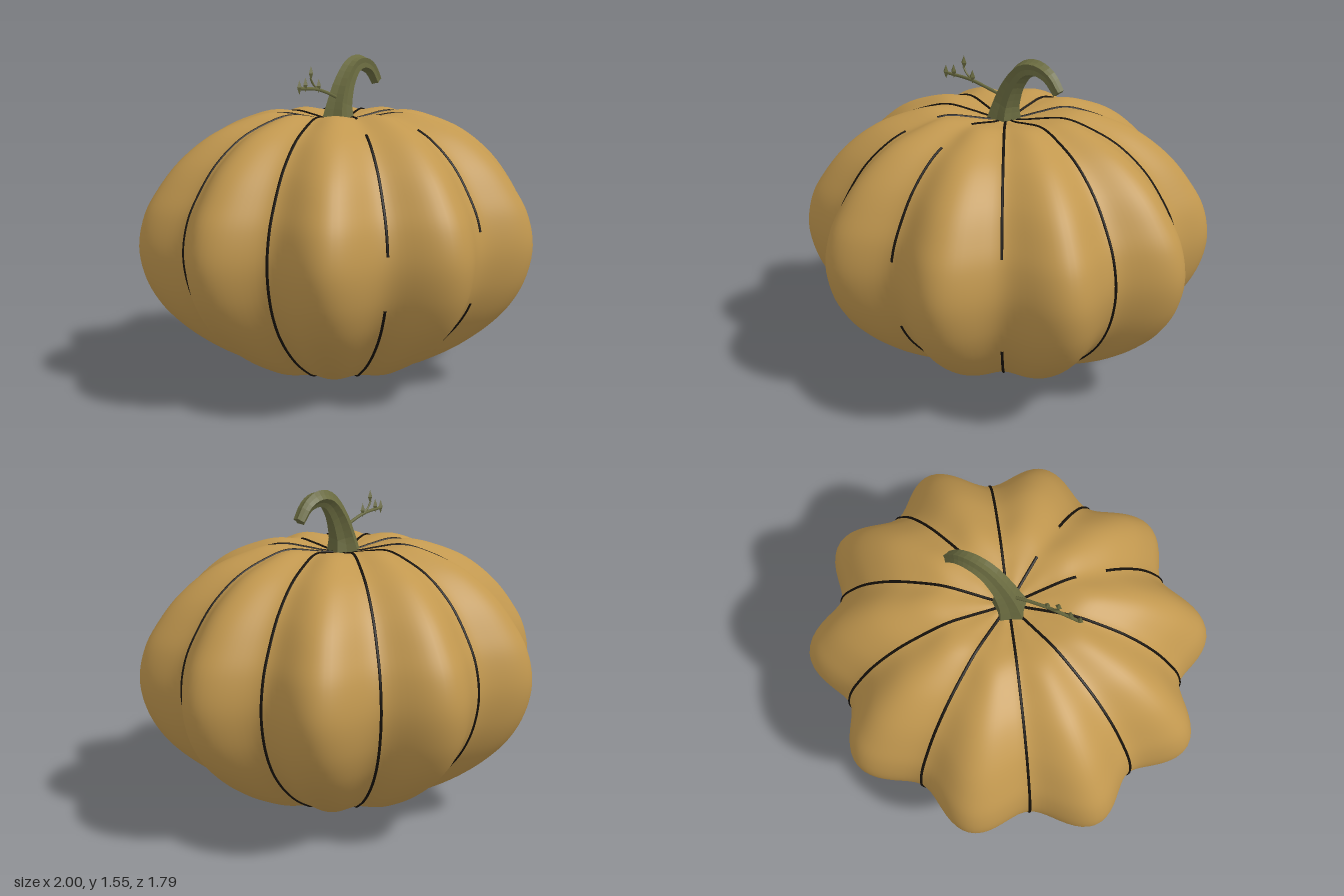
import * as THREE from 'three';

const DEPTH = 0.935;   // front-to-back squash of the body
const RIBS = 10;

// Ridge profile (radius, height) from the top dimple to the underside
const PROFILE = [
  [0.004, 1.24], [0.1, 1.25], [0.2, 1.27], [0.35, 1.287], [0.5, 1.25], [0.65, 1.185],
  [0.8, 1.07], [0.9, 0.95], [0.97, 0.83], [1, 0.68], [0.97, 0.53], [0.9, 0.405],
  [0.8, 0.3], [0.65, 0.19], [0.5, 0.11], [0.4, 0.07], [0.2, 0.045], [0.004, 0.035],
];
const LAST = PROFILE.length - 1;
const ridge = new THREE.CatmullRomCurve3(PROFILE.map(([r, y]) => new THREE.Vector3(r, y, 0)));

// Point on the ribbed body at an angle and a profile position (0..LAST)
function bodyPoint(angle, s) {
  const p = ridge.getPoint(s / LAST);
  const valley = (1 - Math.cos(RIBS * angle)) / 2;
  const r = p.x * (1 - 0.138 * valley);
  const dip = s < 6 ? 0.012 * valley * Math.sin((s / 6) * Math.PI) : 0;
  return new THREE.Vector3(r * Math.cos(angle), p.y - dip, r * Math.sin(angle) * DEPTH);
}

// Skin a list of closed rings
function loft(rings) {
  const n = rings[0].length;
  const positions = [];
  const index = [];
  rings.forEach((ring) => ring.forEach((p) => positions.push(p.x, p.y, p.z)));
  for (let i = 0; i < rings.length - 1; i++) {
    for (let j = 0; j < n; j++) {
      const k = (j + 1) % n;
      const a = i * n + j, c = i * n + k, b = a + n, d = c + n;
      index.push(a, c, b, c, d, b);
    }
  }
  const g = new THREE.BufferGeometry();
  g.setAttribute('position', new THREE.Float32BufferAttribute(positions, 3));
  g.setIndex(index);
  g.computeVertexNormals();
  return g;
}

export function createModel() {
  const model = new THREE.Group();
  const flat = (name, color) => {
    const m = new THREE.MeshStandardMaterial({ color });
    m.name = name;
    return m;
  };
  const skin = flat('ochre skin', 0xc2984f);
  const green = flat('stem green', 0x6a6b40);
  const black = flat('groove black', 0x16110a);

  const add = (name, geometry, material, parent = model) => {
    const mesh = new THREE.Mesh(geometry, material);
    mesh.name = name;
    parent.add(mesh);
    return mesh;
  };

  // Ribbed body
  const rows = 85, columns = 200;
  const rings = [];
  for (let i = 0; i <= rows; i++) {
    const ring = [];
    for (let j = 0; j < columns; j++) ring.push(bodyPoint((j / columns) * Math.PI * 2, (i / rows) * LAST));
    rings.push(ring);
  }
  add('body', loft(rings), skin);

  // Small tip underneath
  const tip = add('bottomTip', new THREE.ConeGeometry(0.025, 0.04, 8), skin);
  tip.rotation.x = Math.PI;
  tip.position.y = 0.02;

  // Dark groove lines in the valleys; the three front ones are broken
  const grooves = new THREE.Group();
  grooves.name = 'grooves';
  model.add(grooves);
  const broken = {
    1: [[0.5, 7.67], [10.95, LAST]],
    2: [[0.5, 2.75], [4.4, 8.33], [10.6, LAST]],
    3: [[0.5, 3.3], [4.5, 8.67], [10.3, LAST]],
  };
  for (let k = 0; k < RIBS; k++) {
    const angle = ((k + 0.5) / RIBS) * Math.PI * 2;
    for (const [from, to] of broken[k] || [[0.5, LAST]]) {
      const steps = Math.ceil((to - from) * 3);
      const points = [];
      for (let i = 0; i <= steps; i++) points.push(bodyPoint(angle, from + ((to - from) * i) / steps));
      add('groove', new THREE.TubeGeometry(new THREE.CatmullRomCurve3(points), steps * 2, 0.007, 6), black, grooves);
    }
  }

  // Curved stem with a five-pointed section
  const stemPath = new THREE.CatmullRomCurve3([
    [-0.015, 1.23], [0, 1.32], [0.045, 1.425], [0.11, 1.497], [0.18, 1.512], [0.25, 1.485], [0.303, 1.42],
  ].map(([x, y]) => new THREE.Vector3(x, y, -0.008)));
  const radii = [0.088, 0.066, 0.053, 0.045, 0.04, 0.034, 0.029];
  const stemRings = [];
  const stemSteps = 18;
  for (let i = 0; i <= stemSteps + 1; i++) {
    const t = Math.min(i / stemSteps, 1);
    const c = stemPath.getPoint(t);
    const dir = stemPath.getTangent(t);
    const f = t * (radii.length - 1);
    const lo = Math.min(Math.floor(f), radii.length - 2);
    const radius = i > stemSteps ? 0 : THREE.MathUtils.lerp(radii[lo], radii[lo + 1], f - lo);
    const ring = [];
    for (let j = 0; j < 10; j++) {
      const a = (j / 10) * Math.PI * 2 - Math.PI / 2;
      const r = radius * (j % 2 ? 0.74 : 1);
      const side = Math.cos(a) * r;
      ring.push(new THREE.Vector3(c.x - dir.y * side, c.y + dir.x * side, c.z + Math.sin(a) * r));
    }
    stemRings.push(ring);
  }
  const stemGeometry = loft(stemRings).toNonIndexed();
  stemGeometry.computeVertexNormals();
  add('stem', stemGeometry, green);

  // Twig with small pointed buds
  const twig = new THREE.Group();
  twig.name = 'twig';
  model.add(twig);
  const twigPart = (points, radius) => add('twigBranch', new THREE.TubeGeometry(
    new THREE.CatmullRomCurve3(points.map((p) => new THREE.Vector3(...p))), 10, radius, 5), green, twig);
  twigPart([[-0.02, 1.35, 0], [-0.1, 1.375, 0.012], [-0.2, 1.4, 0.02], [-0.34, 1.41, 0.03]], 0.008);
  twigPart([[-0.18, 1.396, 0.018], [-0.22, 1.42, 0.018], [-0.245, 1.455, 0.018]], 0.005);
  const buds = [[-0.342, 1.415, 0.033], [-0.295, 1.425, 0.03], [-0.24, 1.475, 0.018], [-0.186, 1.415, 0.02]];
  for (const [x, y, z] of buds) {
    const bud = add('bud', new THREE.OctahedronGeometry(1), green, twig);
    bud.scale.set(0.016, 0.034, 0.012);
    bud.position.set(x, y, z);
  }

  return model;
}
